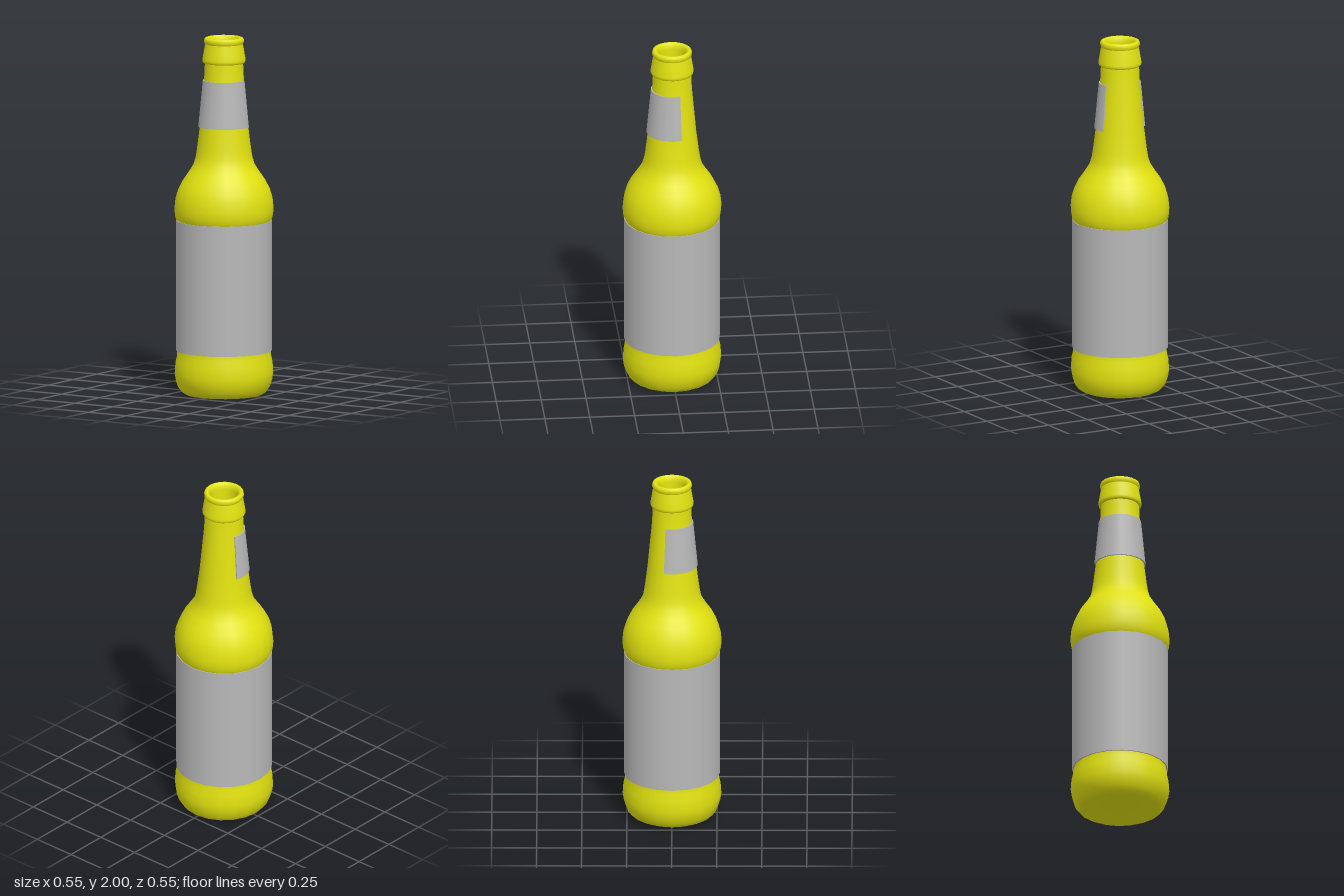
import * as THREE from 'three';

const SIDES = 20;
const glass = new THREE.MeshStandardMaterial({ color: 0xe3e310 });
glass.name = 'yellowGlass';
const paper = new THREE.MeshStandardMaterial({ color: 0xb8b8b8, side: THREE.DoubleSide });
paper.name = 'greyPaper';

const toPoints = (profile) => profile.map(([r, y]) => new THREE.Vector2(r, y));

function lathe(name, profile, material, sides = SIDES, start = 0, sweep = Math.PI * 2) {
  const mesh = new THREE.Mesh(new THREE.LatheGeometry(toPoints(profile), sides, start, sweep), material);
  mesh.name = name;
  return mesh;
}

export function createModel() {
  const bottle = new THREE.Group();
  bottle.name = 'bottle';

  // Hollowed base, rounded heel and recessed label panel
  bottle.add(lathe('lowerBody', [
    [0, 0.04], [0.1, 0.033], [0.16, 0.018], [0.19, 0.002], [0.21, 0], [0.235, 0.013], [0.255, 0.04],
    [0.268, 0.08], [0.274, 0.12], [0.27, 0.18], [0.261, 0.22], [0.26, 0.25], [0.26, 0.97],
  ], glass));

  // Shoulder flowing into the tapered neck
  bottle.add(lathe('shoulderAndNeck', [
    [0.26, 0.97], [0.27, 0.99], [0.274, 1.02], [0.275, 1.05], [0.27, 1.1], [0.255, 1.15], [0.23, 1.2],
    [0.195, 1.25], [0.17, 1.29], [0.158, 1.33], [0.15, 1.38], [0.135, 1.5], [0.111, 1.76], [0.106, 1.865],
  ], glass));

  // Collar ring, rounded lip and the inside of the mouth
  bottle.add(lathe('collar', [
    [0.104, 1.858], [0.115, 1.858], [0.12, 1.866], [0.12, 1.878], [0.113, 1.92], [0.105, 1.965],
  ], glass));
  bottle.add(lathe('lip', [
    [0.104, 1.962], [0.11, 1.972], [0.111, 1.985], [0.107, 1.996], [0.098, 2], [0.088, 1.997],
    [0.08, 1.985], [0.076, 1.965], [0.076, 1.85],
  ], glass));

  // Main label, a closed cylinder around the recessed panel
  const label = new THREE.Mesh(new THREE.CylinderGeometry(0.267, 0.267, 0.73, SIDES), paper);
  label.name = 'bodyLabel';
  label.position.y = 0.61;
  bottle.add(label);

  // Neck label: a wrap over the front with closed rims and ends
  const neckLabel = new THREE.Group();
  neckLabel.name = 'neckLabel';
  const section = [[0.134, 1.5], [0.143, 1.5], [0.118, 1.76], [0.11, 1.76]];
  ['lowerRim', 'face', 'upperRim'].forEach((name, i) => {
    neckLabel.add(lathe(name, section.slice(i, i + 2), paper, 12, -Math.PI * 0.6, Math.PI * 1.2));
  });
  for (const side of [-1, 1]) {
    const end = new THREE.Mesh(new THREE.ShapeGeometry(new THREE.Shape(toPoints(section))), paper);
    end.name = side > 0 ? 'leftEnd' : 'rightEnd';
    end.rotation.y = side * Math.PI * 0.6 - Math.PI / 2;
    neckLabel.add(end);
  }
  bottle.add(neckLabel);

  return bottle;
}
